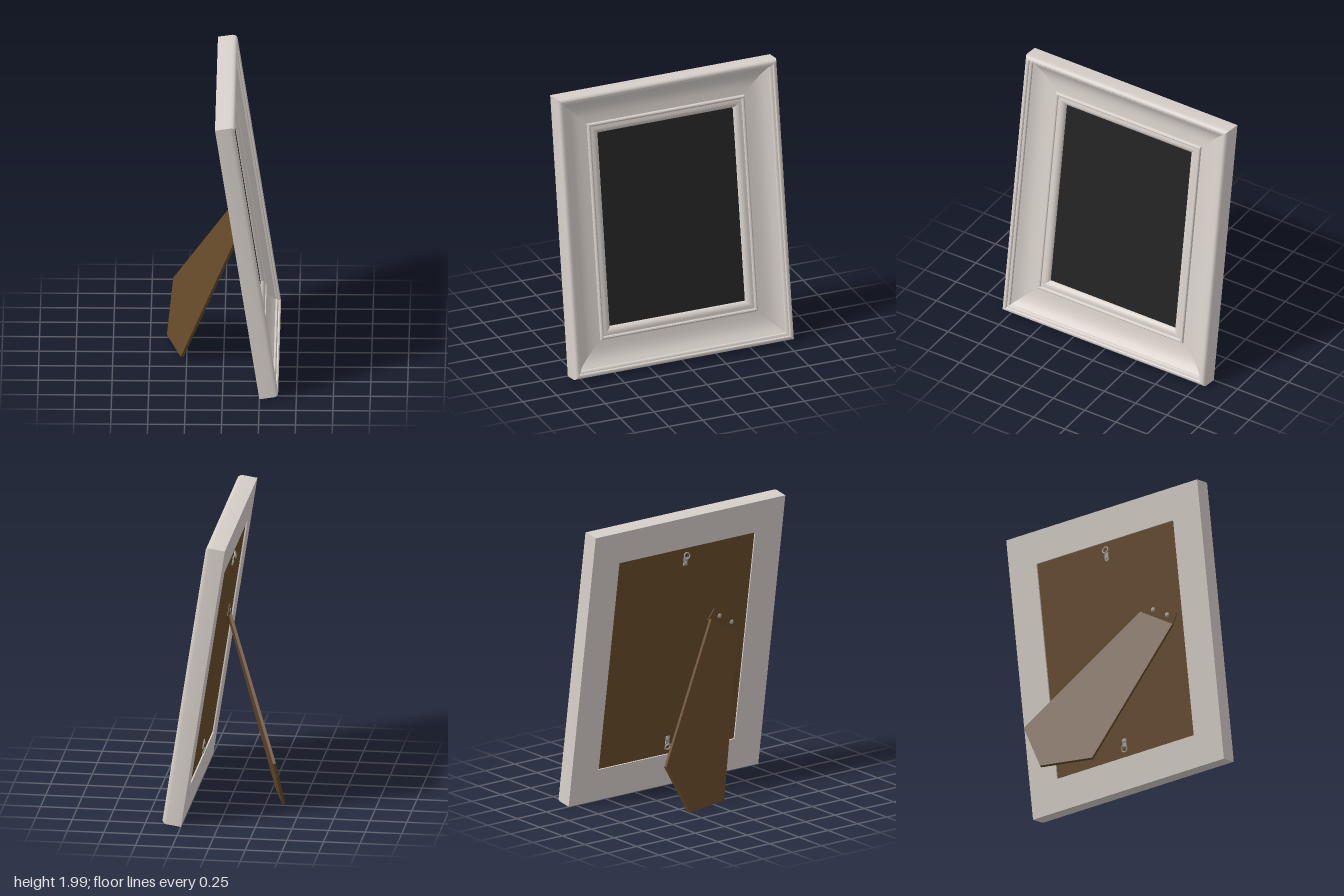
import * as THREE from 'three';
import { toCreasedNormals } from 'three/addons/utils/BufferGeometryUtils.js';

const W = 0.81, H = 0.998, TILT = 0.151, RABBET = 0.23;

const paint = new THREE.MeshStandardMaterial({ color: 0xd8d0ca });
paint.name = 'paintedWood';
const black = new THREE.MeshStandardMaterial({ color: 0x232323 });
black.name = 'darkPicture';
const brown = new THREE.MeshStandardMaterial({ color: 0x664a2a });
brown.name = 'brownBoard';
const metal = new THREE.MeshStandardMaterial({ color: 0xa8a6a2 });
metal.name = 'metal';

// Moulding section: [distance in from the outer edge, depth above the back]
const PROFILE = [
  [0, 0], [0, 0.1], [0.003, 0.116], [0.01, 0.127], [0.02, 0.132], [0.03, 0.131], [0.035, 0.125],
  [0.035, 0.117], [0.046, 0.116], [0.052, 0.112], [0.055, 0.1],
  [0.07, 0.09], [0.09, 0.078], [0.115, 0.067], [0.145, 0.06], [0.18, 0.056], [0.23, 0.056],
  [0.23, 0.064], [0.234, 0.071], [0.242, 0.074], [0.25, 0.071], [0.254, 0.064],
  [0.262, 0.064], [0.275, 0.066], [0.29, 0.063], [0.302, 0.055], [0.309, 0.045], [0.311, 0.038],
  [RABBET, 0.038], [RABBET, 0], [0, 0],
];

// One mitred rail, lying along x at the bottom of the frame
function railGeometry(half, dist) {
  const pos = [];
  for (let i = 0; i < PROFILE.length - 1; i++) {
    const [t0, d0] = PROFILE[i], [t1, d1] = PROFILE[i + 1];
    const a = [t0 - half, t0 - dist, d0], b = [half - t0, t0 - dist, d0];
    const c = [half - t1, t1 - dist, d1], e = [t1 - half, t1 - dist, d1];
    pos.push(...a, ...b, ...c, ...a, ...c, ...e);
  }
  const g = new THREE.BufferGeometry();
  g.setAttribute('position', new THREE.Float32BufferAttribute(pos, 3));
  return toCreasedNormals(g, 0.65);
}

function add(parent, name, geometry, material, x = 0, y = 0, z = 0) {
  const m = new THREE.Mesh(geometry, material);
  m.name = name;
  m.position.set(x, y, z);
  parent.add(m);
  return m;
}

// Small plate with a screw and a ring
function makeHanger() {
  const g = new THREE.Group();
  g.name = 'hanger';
  add(g, 'hangerPlate', new THREE.BoxGeometry(0.03, 0.06, 0.008), metal, 0, -0.015, -0.004);
  const screw = add(g, 'hangerScrew', new THREE.SphereGeometry(0.011, 12, 8), metal, 0, -0.025, -0.008);
  screw.scale.z = 0.6;
  const ring = add(g, 'hangerRing', new THREE.TorusGeometry(0.022, 0.005, 8, 20), metal, 0, 0.03, -0.014);
  ring.rotation.x = 0.25;
  return g;
}

// Propped leg: a five-sided board in the plane of its corners
function makeLeg() {
  const corners = [
    [0.06, 1.18, 0.25], [0.09, 1.03, 0.5], [-0.285, 0.01, 0.1], [-0.375, 0.015, -0.27], [-0.335, 0.36, -0.44],
  ].map((p) => new THREE.Vector3(...p));
  const o = corners[0];
  const u = corners[1].clone().sub(o).normalize();
  const n = u.clone().cross(corners[4].clone().sub(o)).normalize();
  const v = n.clone().cross(u);
  const shape = new THREE.Shape(corners.map((p) => {
    const q = p.clone().sub(o);
    return new THREE.Vector2(q.dot(u), q.dot(v));
  }));
  const geo = new THREE.ExtrudeGeometry(shape, { depth: 0.02, bevelEnabled: false });
  geo.translate(0, 0, -0.014);
  geo.applyMatrix4(new THREE.Matrix4().makeBasis(u, v, n).setPosition(o));
  const leg = new THREE.Mesh(geo, brown);
  leg.name = 'standLeg';
  return leg;
}

export function createModel() {
  const model = new THREE.Group();
  model.name = 'pictureFrame';

  // Leaning frame: local z is its front, turned to face +x
  const frame = new THREE.Group();
  frame.name = 'leaningFrame';
  frame.rotation.set(-TILT, Math.PI / 2, 0, 'YXZ');
  frame.position.set(0.25, 0.005, 0);
  model.add(frame);

  ['bottomRail', 'sideRail', 'topRail', 'sideRail'].forEach((name, k) => {
    const geo = k % 2 ? railGeometry(H, W) : railGeometry(W, H);
    add(frame, name, geo, paint, 0, H, 0).rotation.z = k * Math.PI / 2;
  });

  // Picture and backing board
  const w = 2 * (W - RABBET), h = 2 * (H - RABBET);
  add(frame, 'picture', new THREE.BoxGeometry(w, h, 0.009), black, 0, H, 0.033);
  add(frame, 'backBoard', new THREE.BoxGeometry(w, h, 0.018), brown, 0, H, 0.019);

  // Hangers near the top and bottom of the board
  for (const s of [1, -1]) {
    const hanger = makeHanger();
    hanger.position.set(0, H + s * 0.68, 0.01);
    if (s < 0) hanger.rotation.z = Math.PI;
    frame.add(hanger);
  }

  // Hinge flap with two rivets, set along the slanting top of the leg
  const hinge = new THREE.Group();
  hinge.name = 'hinge';
  hinge.position.set(-0.39, 1.145, 0.01);
  hinge.rotation.z = Math.atan2(0.15, 0.25);
  frame.add(hinge);
  add(hinge, 'hingeFlap', new THREE.BoxGeometry(0.28, 0.09, 0.008), brown, 0, 0, -0.004);
  for (const x of [-0.065, 0.065]) {
    const rivet = add(hinge, 'rivet', new THREE.SphereGeometry(0.017, 14, 8), metal, x, 0.015, -0.008);
    rivet.scale.z = 0.45;
  }

  model.add(makeLeg());
  return model;
}
